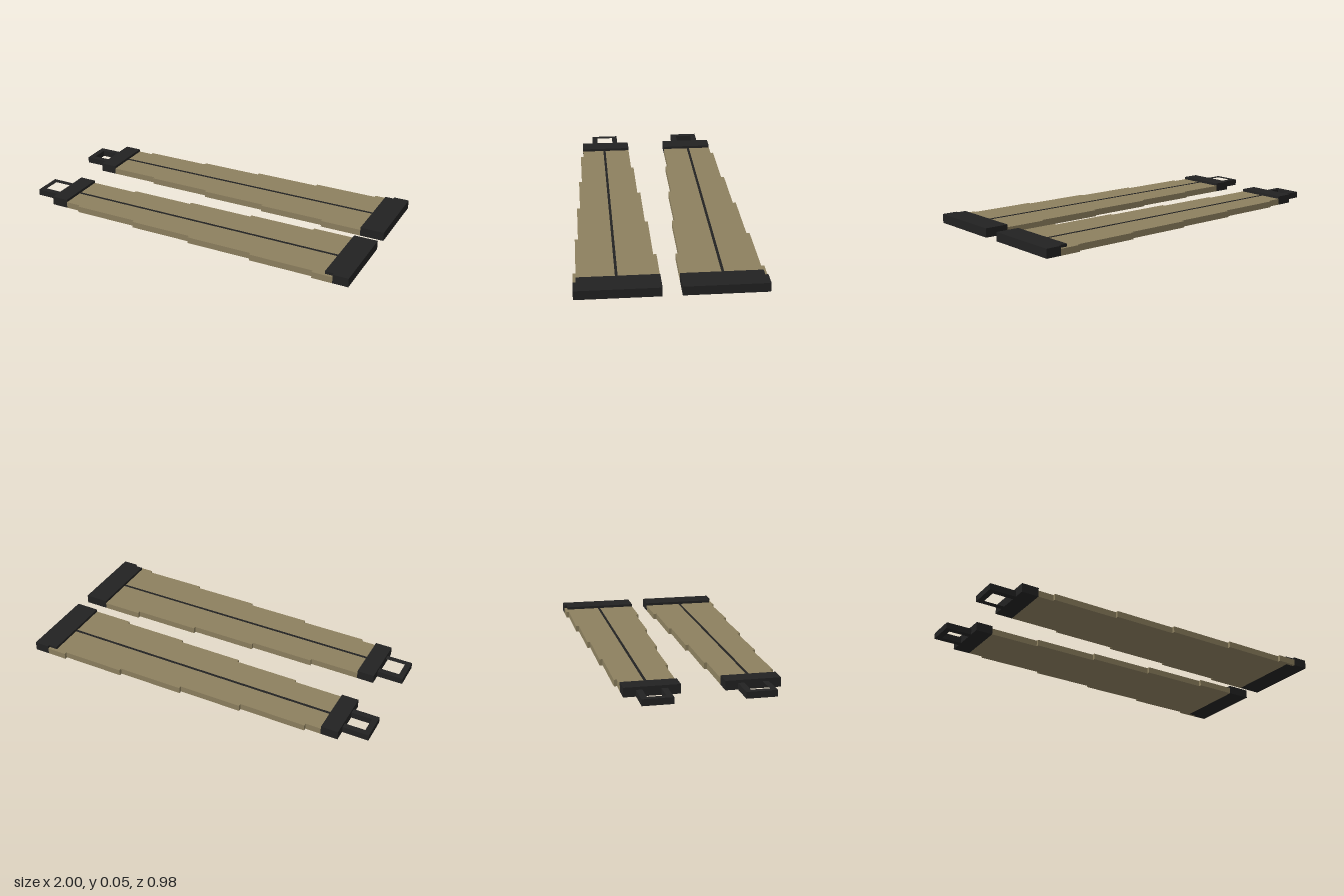
import * as THREE from 'three';

const BOARD_H = 0.035, CAP_H = 0.05;

export function createModel() {
  const tan = new THREE.MeshStandardMaterial({ color: 0x8d805f });
  tan.name = 'tan';
  const black = new THREE.MeshStandardMaterial({ color: 0x222222 });
  black.name = 'black';

  // Flat slab from [x, z] outline points, standing on y = 0; side mirrors z
  function slab(name, points, height, material, side, hole) {
    const toPlan = (list) => list.map(([x, z]) => new THREE.Vector2(x, -z * side));
    const shape = new THREE.Shape(toPlan(points));
    if (hole) shape.holes.push(new THREE.Path(toPlan(hole)));
    const geometry = new THREE.ExtrudeGeometry(shape, { depth: height, bevelEnabled: false });
    geometry.rotateX(-Math.PI / 2);
    const mesh = new THREE.Mesh(geometry, material);
    mesh.name = name;
    return mesh;
  }
  const rect = (x0, x1, z0, z1) => [[x0, z0], [x1, z0], [x1, z1], [x0, z1]];

  // Stepped edge: z changes at each x in steps
  function steppedEdge(start, end, steps, levels) {
    const points = [[start, levels[0]]];
    steps.forEach((x, i) => points.push([x, levels[i]], [x, levels[i + 1]]));
    points.push([end, levels[levels.length - 1]]);
    return points;
  }

  const inner = steppedEdge(-0.757, 0.866, [-0.478, -0.115, 0.26, 0.635],
    [0.115, 0.1, 0.083, 0.067, 0.05]);
  const outer = steppedEdge(-0.757, 0.914, [-0.67, -0.295, 0.064, 0.44, 0.8],
    [0.407, 0.423, 0.44, 0.457, 0.474, 0.49]);
  const boardOutline = [...inner, [0.866, 0.474], [0.914, 0.474], ...outer.reverse()];
  const wideCapOutline = [[0.866, 0.05], [1, 0.05], [1, 0.49], [0.914, 0.49],
    [0.914, 0.474], [0.866, 0.474]];

  const model = new THREE.Group();
  model.name = 'taperedPanels';
  for (const side of [1, -1]) {
    const panel = new THREE.Group();
    panel.name = side > 0 ? 'frontPanel' : 'backPanel';
    panel.add(
      slab('board', boardOutline, BOARD_H, tan, side),
      slab('wideEndCap', wideCapOutline, CAP_H, black, side),
      slab('narrowEndCap', rect(-0.853, -0.757, 0.115, 0.407), CAP_H, black, side),
      slab('handleLoop', rect(-1, -0.853, 0.181, 0.342), BOARD_H, black, side,
        rect(-0.968, -0.8531, 0.213, 0.31)),
    );
    // Dark seam along the middle of the board
    const seam = new THREE.Mesh(new THREE.BoxGeometry(1.623, 0.003, 0.014), black);
    seam.name = 'centreSeam';
    seam.position.set(0.0545, BOARD_H, 0.27 * side);
    panel.add(seam);
    model.add(panel);
  }
  return model;
}
